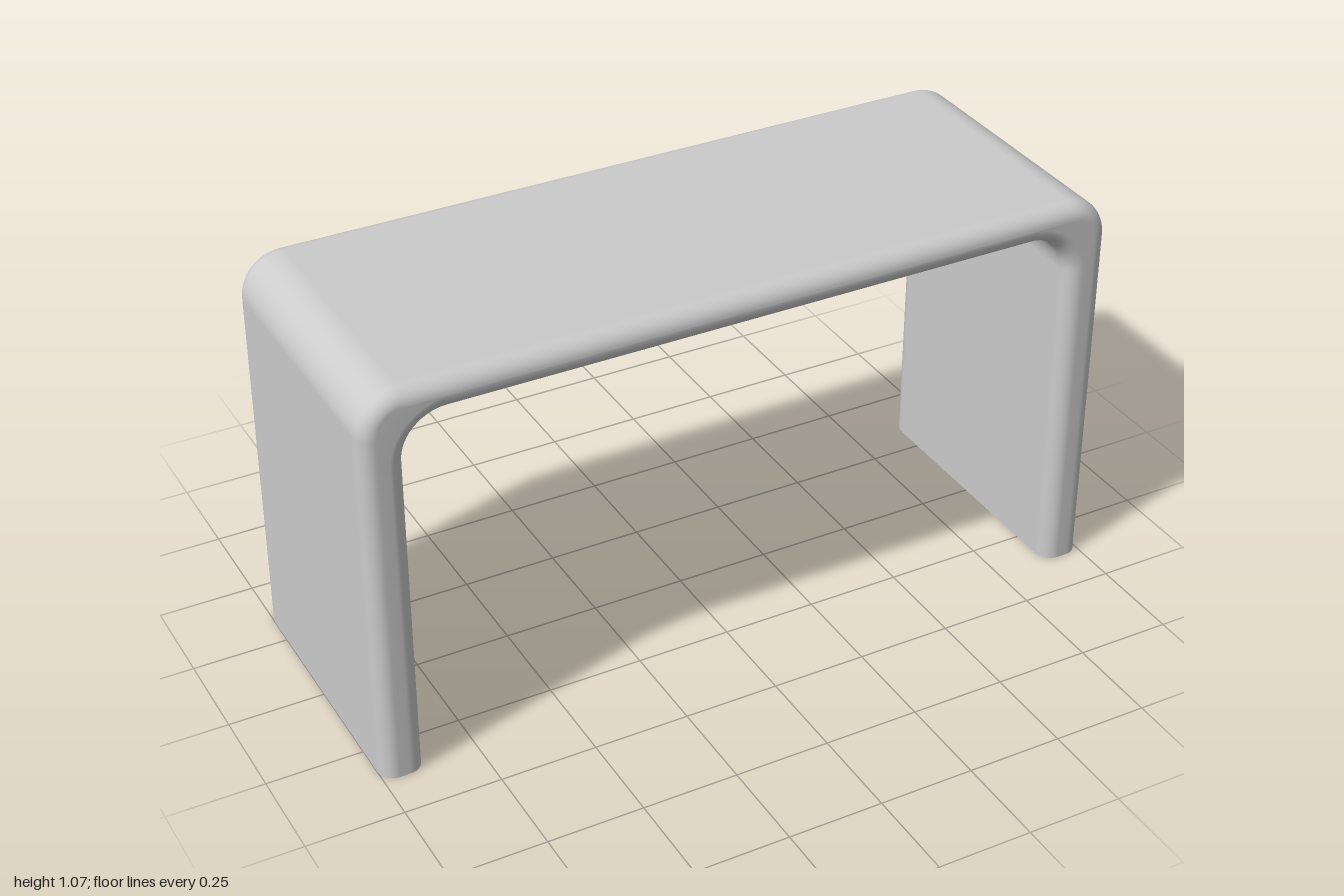
import * as THREE from 'three';

const HEIGHT = 1.065, HALF_DEPTH = 0.378;
const LEG = 0.11, TOP = 0.085;        // leg and top thickness
const BEND = 0.11;                    // radius of the outer and inner bends
const EDGE_T = 0.041, EDGE_Z = 0.045; // edge rounding across the thickness and the depth

// Rounded cross-section: d is the distance in from the outer or inner skin
function section(steps = 8) {
  const ring = [];
  const quarter = (inner, side, rising) => {
    for (let i = 0; i <= steps; i++) {
      const a = (rising ? i : steps - i) / steps * Math.PI / 2;
      ring.push({
        inner,
        d: EDGE_T * (1 - Math.sin(a)),
        z: side * (HALF_DEPTH - EDGE_Z * (1 - Math.cos(a))),
      });
    }
  };
  quarter(false, 1, true);
  quarter(false, -1, false);
  quarter(true, -1, true);
  quarter(true, 1, false);
  return ring;
}

// Stations from the left foot, over the top, to the right foot
function stations(steps = 14) {
  const half = [{ a: 0, foot: true, side: 1 }];
  for (let i = 0; i <= steps; i++) half.push({ a: i / steps * Math.PI / 2, side: 1 });
  return [...half, ...half.map(s => ({ ...s, side: -1 })).reverse()];
}

function place(st, p) {
  const inset = p.inner ? 1 : 0;
  const r = p.inner ? BEND + p.d : BEND - p.d;
  const x = 1 - BEND - inset * LEG + r * Math.cos(st.a);
  const y = HEIGHT - BEND - inset * TOP + r * Math.sin(st.a);
  return [st.side * x, st.foot ? 0 : y, p.z];
}

function benchGeometry() {
  const ring = section(), path = stations(), n = ring.length;
  const pos = [], idx = [];
  for (const st of path) for (const p of ring) pos.push(...place(st, p));
  for (let i = 0; i < path.length - 1; i++) {
    for (let j = 0; j < n; j++) {
      const k = (j + 1) % n;
      const a = i * n + j, b = i * n + k;
      idx.push(a, b, a + n, b, b + n, a + n);
    }
  }
  // Flat feet, with their own vertices so the rim stays sharp
  for (const st of [path[0], path[path.length - 1]]) {
    const c = pos.length / 3;
    pos.push(st.side * (1 - LEG / 2), 0, 0);
    for (const p of ring) pos.push(...place(st, p));
    for (let j = 0; j < n; j++) {
      const a = c + 1 + j, b = c + 1 + (j + 1) % n;
      if (st.side > 0) idx.push(c, b, a);
      else idx.push(c, a, b);
    }
  }
  const g = new THREE.BufferGeometry();
  g.setAttribute('position', new THREE.Float32BufferAttribute(pos, 3));
  g.setIndex(idx);
  g.computeVertexNormals();
  return g;
}

export function createModel() {
  const group = new THREE.Group();
  group.name = 'waterfallBench';
  const bench = new THREE.Mesh(benchGeometry(), new THREE.MeshStandardMaterial({ color: 0xcccccc }));
  bench.name = 'bentTopAndLegs';
  group.add(bench);
  return group;
}
